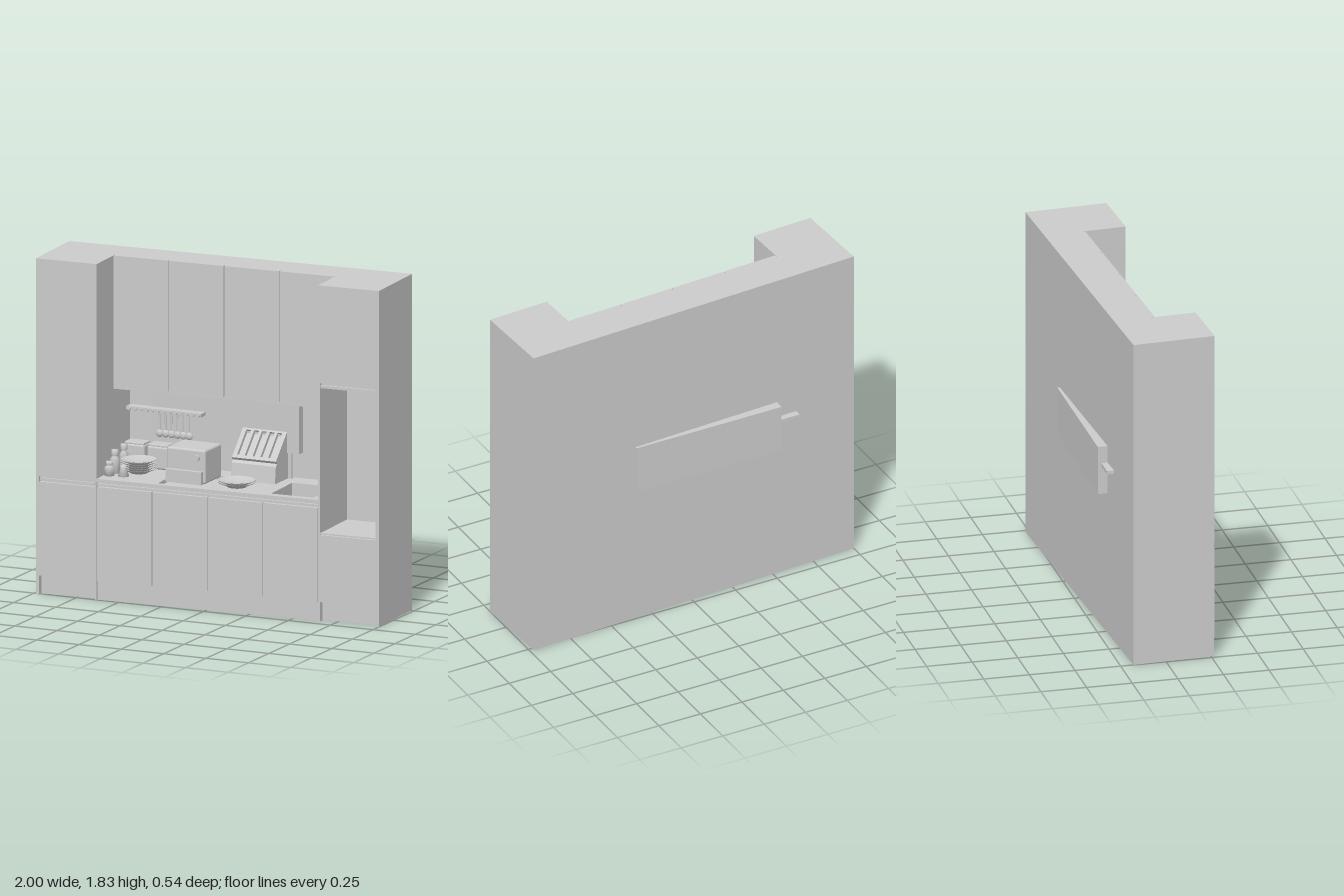
import * as THREE from 'three';
import { RoundedBoxGeometry } from 'three/addons/geometries/RoundedBoxGeometry.js';

const grey = new THREE.MeshStandardMaterial({ color: 0xcccccc });
const thin = new THREE.MeshStandardMaterial({ color: 0xcccccc, side: THREE.DoubleSide });

function add(parent, name, geometry, x = 0, y = 0, z = 0, material = grey) {
  const mesh = new THREE.Mesh(geometry, material);
  mesh.name = name;
  mesh.position.set(x, y, z);
  parent.add(mesh);
  return mesh;
}

// Box given by its limits on each axis
function box(parent, name, x0, x1, y0, y1, z0, z1) {
  return add(parent, name, new THREE.BoxGeometry(x1 - x0, y1 - y0, z1 - z0),
    (x0 + x1) / 2, (y0 + y1) / 2, (z0 + z1) / 2);
}

function outline(PathType, x0, x1, y0, y1) {
  return new PathType([[x0, y0], [x1, y0], [x1, y1], [x0, y1]].map(p => new THREE.Vector2(...p)));
}

// Horizontal slab with rectangular cut-outs given as [x0, x1, z0, z1]
function slab(parent, name, x0, x1, y0, y1, z0, z1, holes) {
  const shape = outline(THREE.Shape, x0, x1, -z1, -z0);
  for (const [a, b, c, d] of holes) shape.holes.push(outline(THREE.Path, a, b, -d, -c));
  const geo = new THREE.ExtrudeGeometry(shape, { depth: y1 - y0, bevelEnabled: false });
  return add(parent, name, geo.rotateX(-Math.PI / 2), 0, y0, 0);
}

function lathe(parent, name, points, x, y, z) {
  const profile = points.map(p => new THREE.Vector2(...p));
  return add(parent, name, new THREE.LatheGeometry(profile, 32), x, y, z, thin);
}

const W = 0.991, IN = 0.64, BACK = -0.225, BODY = 0.205, FRONT = 0.225, TOP = 1.83, KICK = 0.105;

function leftTall(parent) {
  const g = new THREE.Group();
  g.name = 'leftTallCabinet';
  parent.add(g);
  box(g, 'carcass', -W, -IN, KICK, TOP, BACK, BODY);
  box(g, 'base', -W, -IN, 0, KICK, BACK, 0.19);
  for (const [a, b] of [[-W, -W + 0.018], [-IN - 0.01, -IN]]) box(g, 'sidePanel', a, b, 0, TOP, BACK, FRONT - 0.002);
  box(g, 'lowerDoor', -W, -IN - 0.003, KICK, 0.615, BODY, FRONT);
  box(g, 'handleRail', -W + 0.02, -IN - 0.015, 0.622, 0.635, BODY, 0.218);
  box(g, 'upperDoor', -W, -IN - 0.003, 0.645, TOP, BODY, FRONT);
}

function rightTall(parent) {
  const g = new THREE.Group();
  g.name = 'rightTallCabinet';
  parent.add(g);
  box(g, 'base', IN, W, 0, KICK, BACK, 0.19);
  box(g, 'lowerCarcass', IN, W, KICK, 0.48, BACK, BODY);
  box(g, 'upperCarcass', IN, W, 1.27, TOP, BACK, BODY);
  box(g, 'nicheBack', IN, W, 0.48, 1.27, BACK, -0.135);
  for (const [a, b] of [[IN, IN + 0.012], [W - 0.018, W]]) box(g, 'sidePanel', a, b, 0, TOP, BACK, FRONT - 0.002);
  box(g, 'lowerDoor', IN + 0.012, W - 0.018, KICK, 0.47, BODY, FRONT);
  box(g, 'nicheSill', IN + 0.012, W - 0.018, 0.474, 0.482, BODY, FRONT);
  box(g, 'handleRail', IN + 0.012, W - 0.018, 1.27, 1.285, BODY, 0.22);
  box(g, 'upperDoor', IN + 0.012, W - 0.018, 1.298, TOP, BODY, FRONT);
}

function middleUnits(parent) {
  const g = new THREE.Group();
  g.name = 'middleUnits';
  parent.add(g);
  const sink = [0.35, 0.595, -0.1, 0.18], hob = [-0.3, -0.02, -0.1, 0.19];
  box(g, 'plinth', -IN, IN, 0, KICK, BACK, 0.215);
  box(g, 'baseCarcass', -IN, IN, KICK, 0.52, BACK, BODY);
  slab(g, 'sinkSurround', -IN, IN, 0.52, 0.64, BACK, BODY, [sink]);
  slab(g, 'worktop', -IN, IN, 0.64, 0.66, BACK, FRONT, [sink, hob]);
  box(g, 'handleRail', -IN, IN, 0.622, 0.634, BODY, 0.22);
  box(g, 'wallCarcass', -IN, IN, 1.115, TOP, BACK, -0.02);
  box(g, 'wallCabinetBottom', -IN, IN, 1.103, 1.115, BACK, -0.006);
  box(g, 'backsplash', -IN, IN, 0.66, 1.103, BACK, BACK + 0.003);
  for (let i = 0; i < 4; i++) {
    const a = -IN + i * 0.32 + 0.002, b = a + 0.316;
    box(g, 'baseDoor', a, b, KICK, 0.616, BODY, FRONT);
    box(g, 'wallDoor', a, b, 1.117, TOP, -0.02, 0);
  }
}

// Hanging rail with pegs and six ladles
function utensils(parent) {
  const g = new THREE.Group();
  g.name = 'utensilRail';
  parent.add(g);
  box(g, 'rail', -0.645, -0.2, 0.957, 0.976, -0.235, -0.135);
  for (let i = 0; i < 13; i++) {
    const peg = new THREE.CylinderGeometry(0.007, 0.007, 0.016, 10).rotateX(Math.PI / 2);
    add(g, 'peg', peg, -0.62 + i * 0.034, 0.966, -0.128);
  }
  for (let i = 0; i < 6; i++) {
    const x = -0.448 + i * 0.035;
    add(g, 'ladleHandle', new THREE.CylinderGeometry(0.005, 0.004, 0.1, 8), x, 0.91, -0.14);
    add(g, 'ladleBowl', new THREE.SphereGeometry(0.02, 16, 12).scale(1, 1.05, 0.6), x, 0.847, -0.14);
  }
}

// Sloping rack with a slotted top plate
function knifeRack(parent) {
  const g = new THREE.Group();
  g.name = 'knifeRack';
  parent.add(g);
  const side = new THREE.Shape([[0.042, 0.66], [0.2, 0.66], [0.2, 0.896], [0.054, 0.752]].map(p => new THREE.Vector2(...p)));
  add(g, 'rackBody', new THREE.ExtrudeGeometry(side, { depth: 0.26, bevelEnabled: false }).rotateY(Math.PI / 2), 0.02);
  const face = outline(THREE.Shape, 0, 0.26, 0, 0.205);
  for (let i = 0; i < 5; i++) {
    const x = 0.024 + i * 0.046;
    face.holes.push(outline(THREE.Path, x, x + 0.028, 0.02, 0.18));
  }
  const plate = new THREE.ExtrudeGeometry(face, { depth: 0.02, bevelEnabled: false }).translate(0, 0, -0.02);
  add(g, 'slottedPlate', plate, 0.02, 0.78, -0.054).rotation.x = -0.79;
  box(g, 'rackBack', 0.02, 0.3, 0.66, 0.93, -0.216, -0.2);
}

function breadBin(parent) {
  const g = new THREE.Group();
  g.name = 'breadBin';
  parent.add(g);
  add(g, 'binBody', new RoundedBoxGeometry(0.23, 0.185, 0.2, 3, 0.012), -0.165, 0.7525, 0.025);
  box(g, 'frontTray', -0.272, -0.062, 0.66, 0.73, 0.11, 0.153);
  add(g, 'knob', new THREE.CylinderGeometry(0.018, 0.018, 0.018, 24).rotateX(Math.PI / 2), -0.1, 0.8, 0.132);
}

const plateProfile = r => [[0, 0], [r * 0.5, 0], [r * 0.62, 0.008], [r, 0.024], [r, 0.028], [r * 0.6, 0.014], [0, 0.01]];

function crockery(parent) {
  const g = new THREE.Group();
  g.name = 'crockery';
  parent.add(g);
  for (let i = 0; i < 5; i++) lathe(g, 'stackedPlate', plateProfile(0.095), -0.49, 0.662 + i * 0.0115, 0.025);
  for (let i = 0; i < 2; i++) lathe(g, 'servingPlate', plateProfile(0.098), 0.125, 0.661 + i * 0.01, 0.1);
  // Jars and bottles as [x, z, radius, height]
  for (const [x, z, r, h] of [[-0.605, 0.145, 0.027, 0.077], [-0.605, 0.08, 0.027, 0.128], [-0.6, -0.02, 0.025, 0.14]])
    lathe(g, 'jar', [[0, 0], [r, 0], [r, h * 0.6], [r * 0.55, h * 0.7], [r * 0.55, h * 0.78], [r * 0.7, h * 0.78], [r * 0.7, h], [0, h]], x, 0.66, z);
  lathe(g, 'shaker', [[0, 0], [0.03, 0], [0.016, 0.045], [0.018, 0.06], [0, 0.065]], -0.53, 0.66, 0.13);
  for (const x of [-0.575, -0.435]) {
    add(g, 'canister', new RoundedBoxGeometry(0.125, 0.125, 0.09, 3, 0.012), x, 0.7225, -0.13);
    add(g, 'canisterLid', new RoundedBoxGeometry(0.115, 0.014, 0.08, 2, 0.005), x, 0.788, -0.13);
  }
}

export function createModel() {
  const model = new THREE.Group();
  model.name = 'kitchen';

  // Cabinets stand at a slight turn, the loose items stay square
  const cabinets = new THREE.Group();
  cabinets.name = 'cabinets';
  cabinets.rotation.y = 0.0455;
  model.add(cabinets);
  leftTall(cabinets);
  rightTall(cabinets);
  middleUnits(cabinets);

  box(model, 'wallPanel', -0.525, 0.35, 0.8, 1.07, -0.255, -0.19);
  utensils(model);
  knifeRack(model);
  breadBin(model);
  crockery(model);
  return model;
}
